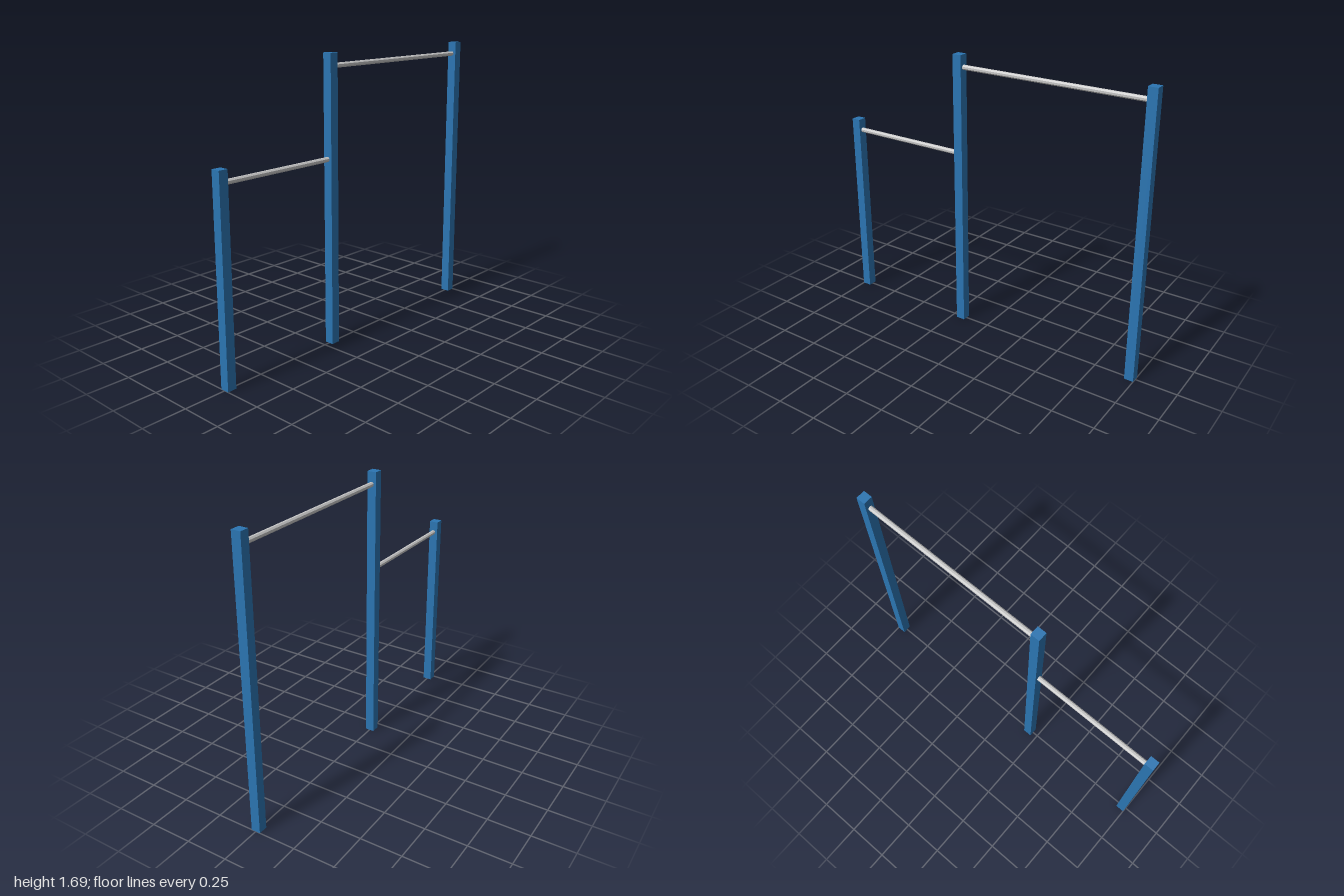
import * as THREE from 'three';

export function createModel() {
  const group = new THREE.Group();
  const blue = new THREE.MeshStandardMaterial({ color: 0x2b75b2 });
  blue.name = 'blue paint';
  const steel = new THREE.MeshStandardMaterial({ color: 0xc6c6c6, flatShading: true });
  steel.name = 'steel';

  const postWidth = 0.055;

  // Square upright standing on the ground
  function addPost(name, x, height) {
    const post = new THREE.Mesh(new THREE.BoxGeometry(postWidth, height, postWidth), blue);
    post.position.set(x, height / 2, 0);
    post.name = name;
    group.add(post);
  }

  // Horizontal eight-sided bar between two uprights
  function addBar(name, x0, x1, y) {
    const geometry = new THREE.CylinderGeometry(0.0145, 0.0145, x1 - x0, 8, 1, false, Math.PI / 8);
    geometry.rotateZ(Math.PI / 2);
    const bar = new THREE.Mesh(geometry, steel);
    bar.position.set((x0 + x1) / 2, y, 0);
    bar.name = name;
    group.add(bar);
  }

  const right = -0.9725, middle = -0.186, left = 0.9725;
  addPost('shortPost', right, 1.173);
  addPost('middlePost', middle, 1.687);
  addPost('tallPost', left, 1.687);
  addBar('lowBar', right, middle, 1.102);
  addBar('highBar', middle, left, 1.615);

  return group;
}
